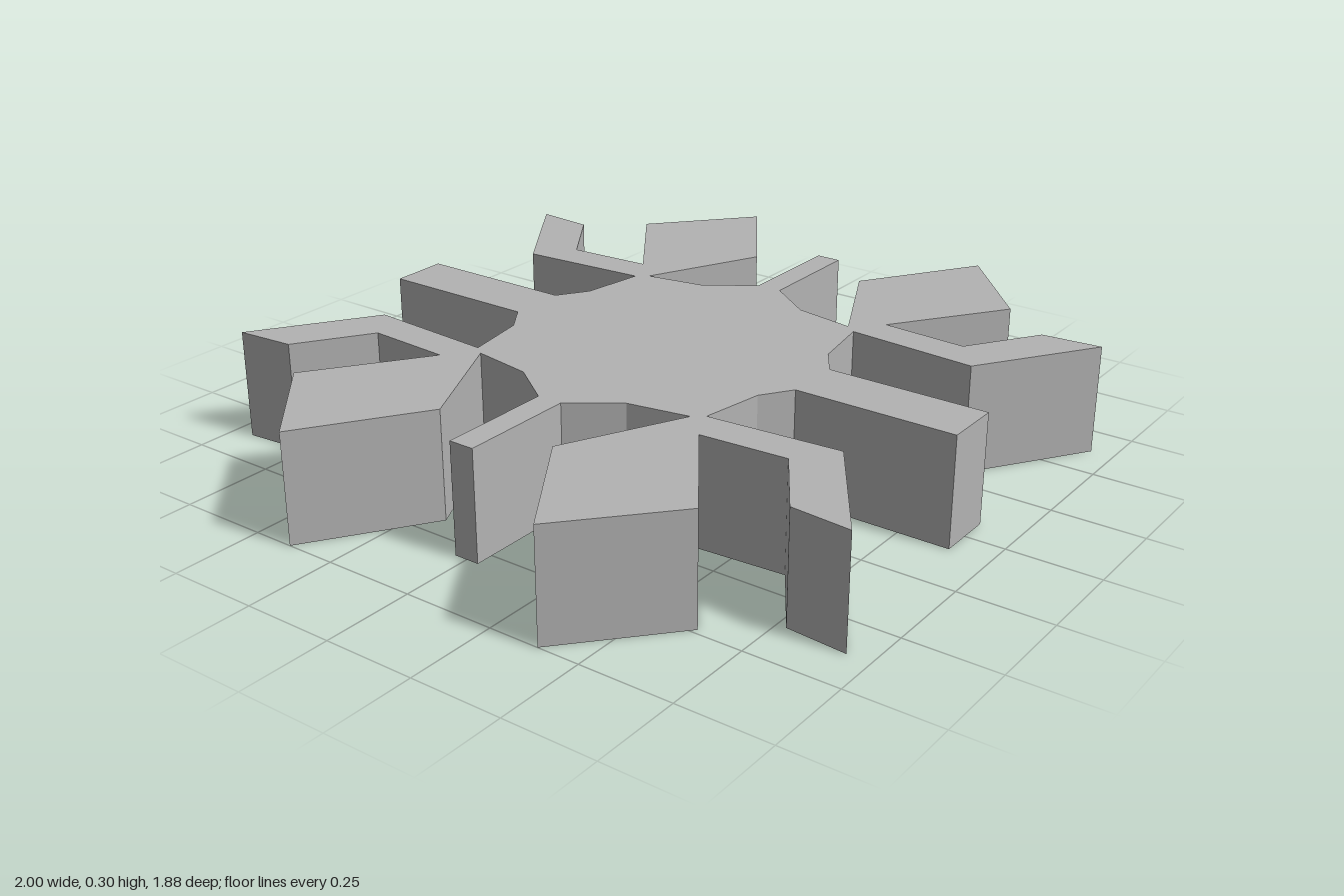
import * as THREE from 'three';

const HEIGHT = 0.3;

// One quarter of the outline, from the long +z spoke round to the thin +x spoke
const QUARTER = [
  [0.08, 0.892], [0.08, 0.448],                               // wide spoke
  [0.163, 0.392], [0.337, 0.363],                             // hub edge
  [0.31, 0.725], [0.627, 0.938], [0.613, 0.775],              // bent arm
  [0.417, 0.645], [0.432, 0.408],
  [0.735, 0.623], [1.0, 0.387], [0.682, 0.175],               // kite blade
  [0.361, 0.332], [0.39, 0.163],                              // hub edge
  [0.483, 0.035], [0.8, 0.035],                               // thin spoke
];

// Mirror the quarter into a closed loop
function outline() {
  const place = (sx, sy, reverse) => {
    const pts = QUARTER.map(([x, y]) => new THREE.Vector2(sx * x, sy * y));
    return reverse ? pts.reverse() : pts;
  };
  return [
    ...place(1, 1, true), ...place(-1, 1, false),
    ...place(-1, -1, true), ...place(1, -1, false),
  ];
}

export function createModel() {
  const grey = new THREE.MeshStandardMaterial({ color: 0xb3b3b3 });
  grey.name = 'plain grey';

  // Flat plate with all spokes, arms and blades in one solid
  const geometry = new THREE.ExtrudeGeometry(new THREE.Shape(outline()), {
    depth: HEIGHT,
    bevelEnabled: false,
  });
  geometry.rotateX(-Math.PI / 2);

  const plate = new THREE.Mesh(geometry, grey);
  plate.name = 'snowflakePlate';

  const model = new THREE.Group();
  model.name = 'snowflake';
  model.add(plate);
  return model;
}
